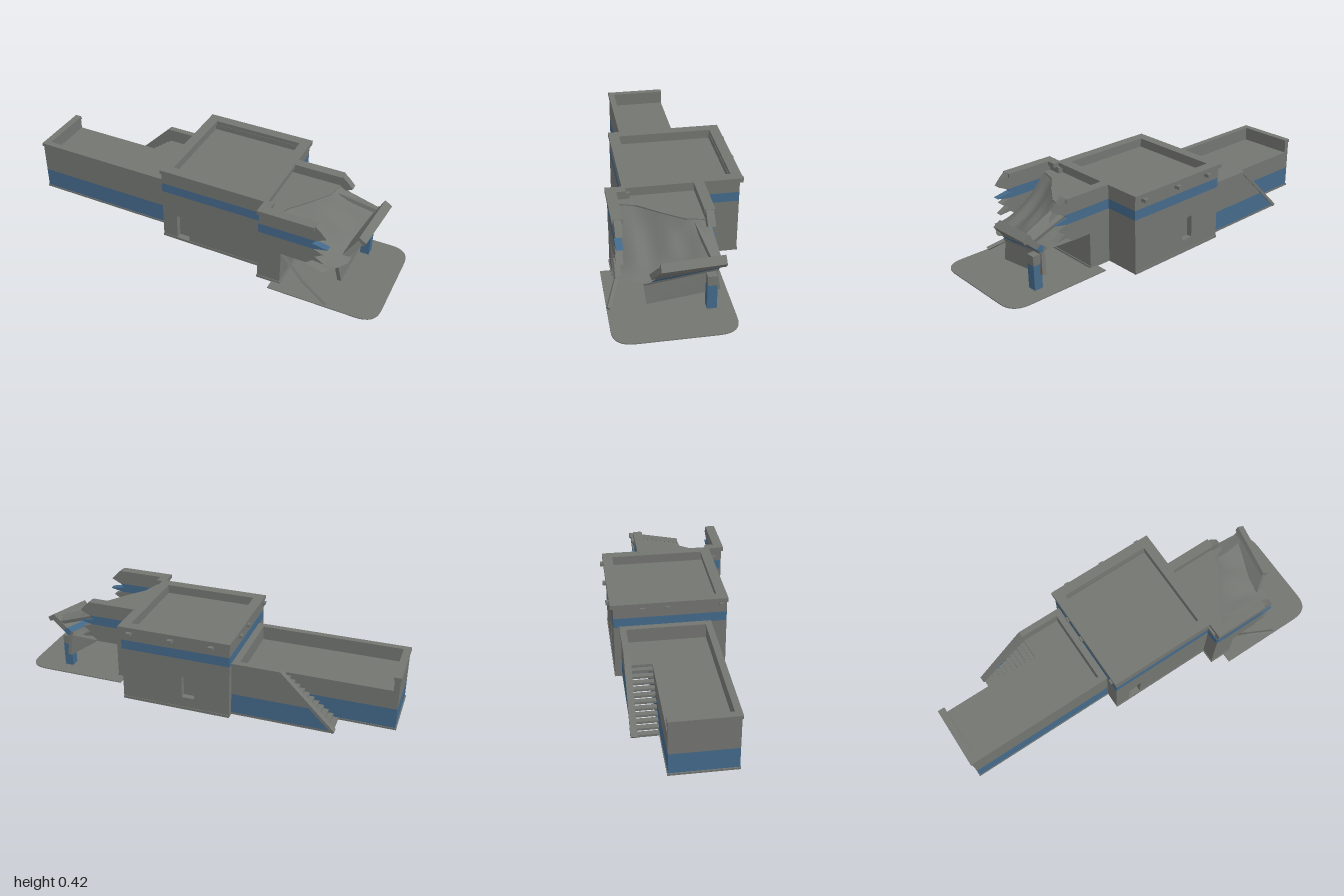
import * as THREE from 'three';

const material = (name, color) => {
  const m = new THREE.MeshStandardMaterial({ color, side: THREE.DoubleSide });
  m.name = name;
  return m;
};

export function createModel() {
  const root = new THREE.Group();
  const concrete = material('concreteGrey', 0x737571);
  const blue = material('stripeBlue', 0x44698a);

  const add = (name, geometry, mat = concrete) => {
    const mesh = new THREE.Mesh(geometry, mat);
    mesh.name = name;
    root.add(mesh);
    return mesh;
  };
  // Box given by its limits on each axis
  const box = (name, x0, x1, y0, y1, z0, z1, mat) => add(name,
    new THREE.BoxGeometry(x1 - x0, y1 - y0, z1 - z0)
      .translate((x0 + x1) / 2, (y0 + y1) / 2, (z0 + z1) / 2), mat);
  const outline = (pts) => new THREE.Shape(pts.map(([x, y]) => new THREE.Vector2(x, y)));
  const rect = (x0, x1, y0, y1) => [[x0, y0], [x1, y0], [x1, y1], [x0, y1]];
  // Upright plate drawn in x and y, thick from z0 to z1
  const plate = (name, pts, z0, z1, mat, hole) => {
    const shape = outline(pts);
    if (hole) shape.holes.push(outline(hole));
    return add(name, new THREE.ExtrudeGeometry(shape, { depth: z1 - z0, bevelEnabled: false })
      .translate(0, 0, z0), mat);
  };
  // Flat slab drawn in x and z, thick from y0 to y1
  const flat = (name, shape, y0, y1, mat) => add(name,
    new THREE.ExtrudeGeometry(shape, { depth: y1 - y0, bevelEnabled: false, curveSegments: 8 })
      .rotateX(Math.PI / 2).translate(0, y1, 0), mat);
  const ring = (name, x0, x1, z0, z1, w, y0, y1, mat) => {
    const shape = outline(rect(x0, x1, z0, z1));
    shape.holes.push(outline(rect(x0 + w, x1 - w, z0 + w, z1 - w)));
    return flat(name, shape, y0, y1, mat);
  };
  // Leaning slab between four corners: bottom start, bottom end, top end, top start
  const slab = (name, corners, thick, mat) => {
    const [a, b, c, d] = corners.map((p) => new THREE.Vector3(...p));
    const n = b.clone().sub(a).cross(d.clone().sub(a)).normalize();
    const g = new THREE.BoxGeometry(1, 1, 1);
    const p = g.attributes.position;
    for (let i = 0; i < p.count; i++) {
      const u = p.getX(i) + 0.5, v = p.getY(i) + 0.5;
      const q = a.clone().lerp(b, u).lerp(d.clone().lerp(c, u), v).addScaledVector(n, p.getZ(i) * thick);
      p.setXYZ(i, q.x, q.y, q.z);
    }
    g.computeVertexNormals();
    return add(name, g, mat);
  };
  const lerp3 = (a, b, t) => a.map((v, i) => v + (b[i] - v) * t);
  // Smooth value from a short list of evenly spaced samples
  const sample = (list, t) => {
    const s = t * (list.length - 1), i = Math.min(Math.floor(s), list.length - 2);
    return list[i] + (list[i + 1] - list[i]) * (s - i);
  };

  // Ground slabs
  const yard = new THREE.Shape();
  yard.moveTo(0.45, -0.215);
  yard.lineTo(0.9, -0.215);
  yard.quadraticCurveTo(1, -0.215, 1, -0.115);
  yard.lineTo(1, 0.26);
  yard.quadraticCurveTo(1, 0.36, 0.9, 0.36);
  yard.lineTo(0.45, 0.36);
  flat('forecourt', yard, 0.016, 0.021);
  box('buildingBase', -0.2, 0.37, 0.016, 0.03, -0.343, 0.233);
  box('annexBase', 0.368, 0.495, 0.016, 0.03, -0.15, 0.309);

  // Main block, with recessed doorways front and back
  box('mainCore', -0.2, 0.37, 0.02, 0.305, -0.31, 0.2);
  plate('mainFrontWall', rect(-0.2, 0.37, 0.02, 0.305), 0.2, 0.23, concrete, rect(-0.12, -0.05, 0.025, 0.17));
  plate('mainBackWall', rect(-0.2, 0.37, 0.02, 0.305), -0.34, -0.31, concrete, rect(-0.015, 0.05, 0.085, 0.205));
  box('mainStripe', -0.2, 0.37, 0.305, 0.355, -0.34, 0.23, blue);
  box('mainRoof', -0.2, 0.37, 0.355, 0.385, -0.34, 0.23);
  ring('mainParapet', -0.2, 0.37, -0.34, 0.23, 0.04, 0.385, 0.415);
  ring('mainCoping', -0.208, 0.38, -0.355, 0.235, 0.053, 0.413, 0.435);

  // Drain spouts under the coping
  for (const x of [-0.11, 0.1, 0.32]) box('drainSpout', x - 0.012, x + 0.012, 0.393, 0.41, -0.37, -0.34);
  for (const z of [-0.195, -0.07, 0.2]) box('drainSpout', -0.218, -0.2, 0.398, 0.413, z - 0.012, z + 0.012);

  // Low wing, open underneath
  ring('wingPlinth', -1, -0.2, -0.178, 0.148, 0.03, 0.02, 0.03);
  ring('wingStripe', -0.995, -0.2, -0.175, 0.145, 0.02, 0.03, 0.135, blue);
  ring('wingWalls', -0.995, -0.2, -0.175, 0.145, 0.02, 0.135, 0.235);
  box('wingRoof', -0.99, -0.2, 0.215, 0.235, -0.17, 0.14);
  box('wingFrontParapet', -0.995, -0.2, 0.235, 0.295, 0.12, 0.145);
  box('wingEndParapet', -0.995, -0.967, 0.235, 0.295, -0.175, 0.145);
  box('wingFrontCoping', -1, -0.2, 0.293, 0.31, 0.117, 0.15);
  box('wingEndCoping', -1, -0.963, 0.293, 0.31, -0.177, 0.15);
  box('wingInnerParapet', -0.235, -0.2, 0.235, 0.31, -0.28, 0.12);

  // Outside stair with landing and sloping guard wall
  box('stairLanding', -0.44, -0.2, 0.215, 0.235, -0.285, -0.17);
  const steps = 11;
  for (let i = 0; i < steps; i++) {
    const x = -0.715 + i * 0.025, y = 0.03 + i * 0.019;
    box('stairStep', x, x + 0.028, y - 0.012, y, -0.285, -0.17);
  }
  const rampX = (y) => -0.44 - (0.295 - y);
  const guard = (y0, y1) => [[-0.2, y0], [rampX(y0), y0], [rampX(y1), y1], [-0.2, y1]];
  plate('stairGuardFoot', guard(0.018, 0.03), -0.305, -0.285);
  plate('stairGuardStripe', guard(0.03, 0.135), -0.305, -0.285, blue);
  plate('stairGuardWall', guard(0.135, 0.295), -0.305, -0.285);
  plate('stairGuardCoping', [[-0.2, 0.293], [-0.44, 0.293], [-0.715, 0.018], [-0.725, 0.03],
    [-0.445, 0.31], [-0.2, 0.31]], -0.312, -0.28);

  // Annex ground floor and inner end of the upper floor
  box('annexGroundFloor', 0.37, 0.49, 0.02, 0.21, -0.15, 0.305);
  box('annexInnerWall', 0.37, 0.395, 0.21, 0.415, 0.2, 0.305);
  box('annexInnerStripe', 0.365, 0.371, 0.305, 0.355, 0.23, 0.3, blue);

  // Torn upper walls, cut into layers for the stripe
  const tornWall = (side, z0, z1, dx) => {
    const layer = (name, edge, mat) => {
      const pts = edge.map(([x, y]) => [x + dx, y]);
      plate(side + name, [[0.37, pts[0][1]], ...pts, [0.37, pts.at(-1)[1]]], z0, z1, mat);
    };
    layer('LowerWall', [[0.62, 0.21], [0.65, 0.235], [0.71, 0.23], [0.66, 0.26], [0.7, 0.285], [0.65, 0.305]]);
    layer('WallStripe', [[0.65, 0.305], [0.72, 0.32], [0.64, 0.335], [0.66, 0.355]], blue);
    layer('UpperWall', [[0.66, 0.355], [0.71, 0.38], [0.68, 0.413]]);
    layer('Coping', [[0.68, 0.413], [0.655, 0.435]]);
  };
  tornWall('annexFront', 0.272, 0.306, 0);
  tornWall('annexBack', -0.152, -0.115, -0.02);
  box('annexFrontCopingEdge', 0.362, 0.65, 0.415, 0.436, 0.265, 0.316);
  box('annexBackCopingEdge', 0.36, 0.63, 0.415, 0.436, -0.16, -0.11);
  box('annexInnerCoping', 0.362, 0.41, 0.413, 0.435, 0.22, 0.28);

  // Roof left standing behind the tear
  const tear = [0.63, 0.61, 0.54, 0.46, 0.43];
  const roof = [[0.36, -0.13], ...tear.map((x, i) => [x, -0.13 + i * 0.102]), [0.36, 0.28]];
  flat('annexRoof', outline(roof), 0.36, 0.385);

  // Sagging sheet: rows run from a start edge to an end edge across z
  const sheet = (name, z0, z1, point) => {
    const g = new THREE.PlaneGeometry(1, 1, 14, 14);
    const p = g.attributes.position;
    for (let i = 0; i < p.count; i++) {
      const t = p.getX(i) + 0.5, s = p.getY(i) + 0.5;
      const [x, y] = point(t, s);
      p.setXYZ(i, x, y, z1 + (z0 - z1) * (1 - s));
    }
    g.computeVertexNormals();
    return add(name, g);
  };
  const roofEnd = [0.82, 0.79, 0.77, 0.8, 0.74];
  const roofEndY = [0.3, 0.26, 0.21, 0.18, 0.19];
  sheet('collapsedRoof', -0.13, 0.285, (t, s) => {
    const x0 = sample(tear, s), x1 = sample(roofEnd, s), y1 = sample(roofEndY, s);
    const fold = 0.012 * Math.sin(s * 17) * Math.sin(Math.PI * t);
    const bulge = 0.035 * Math.sin(Math.PI * t) * Math.sin(Math.PI * s);
    return [x0 + (x1 - x0) * t, y1 + (0.38 - y1) * (1 - t) ** 1.8 + bulge * t + fold];
  });
  sheet('saggingFloor', -0.15, 0.3, (t, s) => {
    const x = 0.48 + (sample([0.78, 0.76, 0.75, 0.76, 0.7], s) - 0.48) * t;
    return [x, 0.21 + (sample([0.22, 0.2, 0.17, 0.15, 0.17], s) - 0.21) * t ** 2.5];
  });
  slab('bentRoofEdge', [[0.6, 0.35, -0.14], [0.82, 0.28, -0.15], [0.82, 0.3, -0.1], [0.6, 0.37, -0.06]], 0.02);

  // Fallen end wall: stripe at the foot, coping on top, lower piece hanging below
  const footFront = [0.74, 0.155, 0.18], footBack = [0.765, 0.22, -0.15];
  const topFront = [0.825, 0.27, 0.12], topBack = [0.86, 0.31, -0.155];
  const midFront = lerp3(footFront, topFront, 0.3), midBack = lerp3(footBack, topBack, 0.3);
  slab('fallenWallStripe', [footFront, footBack, midBack, midFront], 0.03, blue);
  slab('fallenWall', [midFront, midBack, topBack, topFront], 0.03);
  slab('fallenWallCoping', [[0.818, 0.26, 0.122], [0.853, 0.3, -0.163], [0.866, 0.322, -0.163], [0.832, 0.282, 0.122]], 0.045);
  slab('fallenWallLedge', [[0.735, 0.145, 0.187], [0.765, 0.215, -0.15], [0.77, 0.23, -0.15], [0.74, 0.158, 0.187]], 0.04);
  slab('hangingWall', [[0.755, 0.04, 0.177], [0.775, 0.1, -0.16], [0.765, 0.215, -0.145], [0.735, 0.145, 0.19]], 0.02);

  // Corner pillar
  box('pillarFoot', 0.768, 0.822, 0.012, 0.022, -0.142, -0.088);
  box('pillarStripe', 0.772, 0.818, 0.02, 0.15, -0.138, -0.092, blue);
  box('pillarTop', 0.772, 0.818, 0.15, 0.2, -0.138, -0.092);

  // Broken edge beam reaching the ground
  slab('brokenBeamUpper', [[0.49, 0.205, 0.29], [0.6, 0.075, 0.29], [0.606, 0.084, 0.305], [0.496, 0.214, 0.305]], 0.012);
  slab('brokenBeamLower', [[0.6, 0.075, 0.29], [0.75, 0.022, 0.345], [0.752, 0.032, 0.36], [0.602, 0.085, 0.305]], 0.012);

  return root;
}
